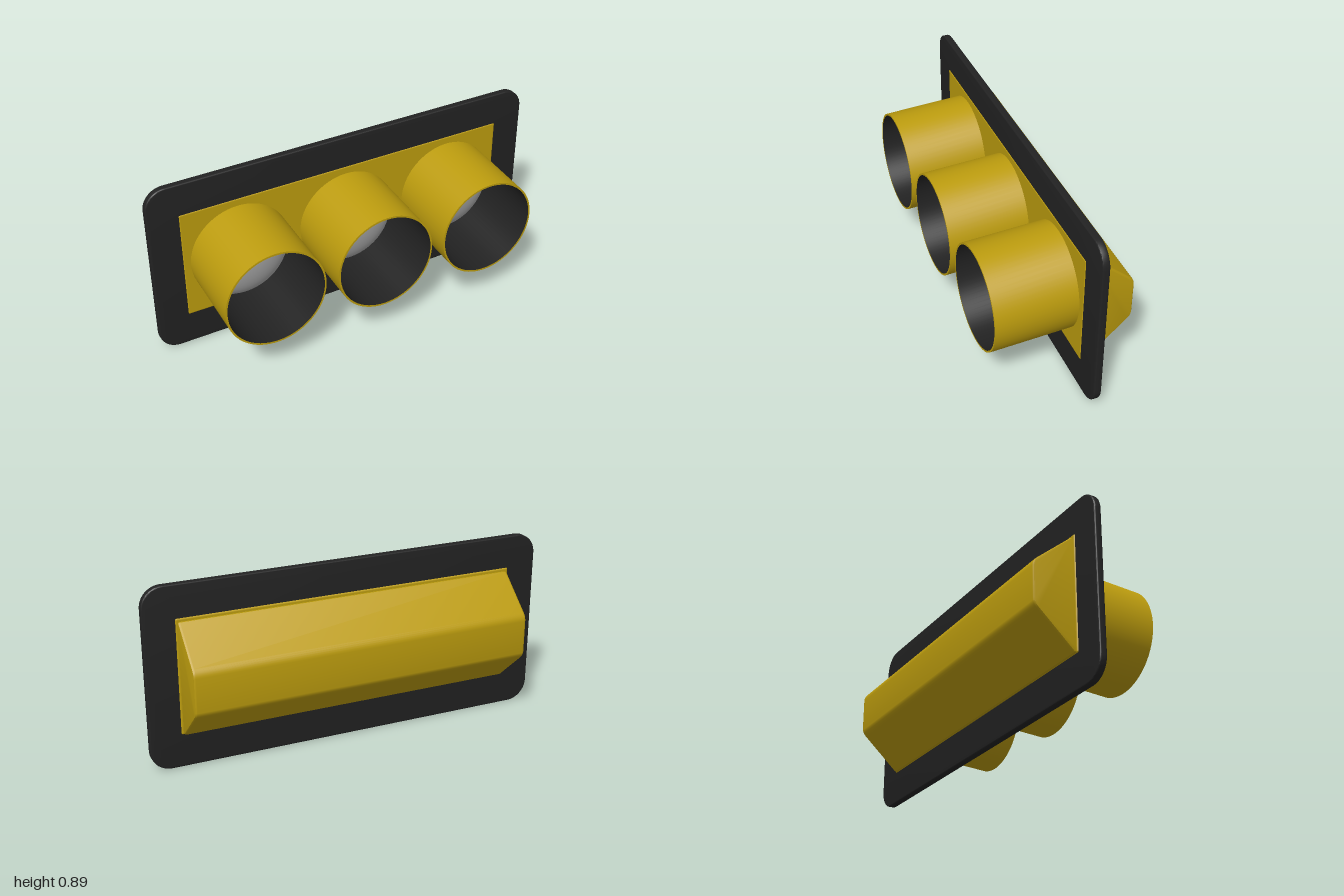
import * as THREE from 'three';
import { toCreasedNormals } from 'three/addons/utils/BufferGeometryUtils.js';
import { RoundedBoxGeometry } from 'three/addons/geometries/RoundedBoxGeometry.js';

const CY = 0.448; // height of the lamp centres
const BASE_Z = -0.075; // front of the backplate

function material(name, color) {
  const m = new THREE.MeshStandardMaterial({ color });
  m.name = name;
  return m;
}

function addMesh(parent, name, geometry, mat) {
  const mesh = new THREE.Mesh(geometry, mat);
  mesh.name = name;
  parent.add(mesh);
  return mesh;
}

// Rectangle with rounded corners, centred on the origin
function roundedRect(w, h, r) {
  const s = new THREE.Shape();
  const x = w / 2 - r, y = h / 2 - r;
  s.absarc(x, y, r, 0, Math.PI / 2);
  s.absarc(-x, y, r, Math.PI / 2, Math.PI);
  s.absarc(-x, -y, r, Math.PI, Math.PI * 1.5);
  s.absarc(x, -y, r, Math.PI * 1.5, Math.PI * 2);
  s.closePath();
  return s;
}

// Tube around z from [radius, z] points, sheared to droop toward the front
function droopingTube(profile) {
  const g = new THREE.LatheGeometry(profile.map(([r, z]) => new THREE.Vector2(r, z)), 64);
  g.rotateX(Math.PI / 2);
  const p = g.attributes.position;
  for (let i = 0; i < p.count; i++) p.setY(i, p.getY(i) - 0.05 * (p.getZ(i) - BASE_Z));
  return toCreasedNormals(g, 0.6);
}

// Tapered back: trapezoid profile swept along x
function housingGeometry() {
  const s = new THREE.Shape();
  s.moveTo(0.1, 0.175);
  s.lineTo(0.12, 0.175);
  s.lineTo(0.295, 0.335);
  s.quadraticCurveTo(0.312, 0.35, 0.312, 0.37);
  s.lineTo(0.312, 0.526);
  s.quadraticCurveTo(0.312, 0.546, 0.295, 0.561);
  s.lineTo(0.12, 0.711);
  s.lineTo(0.1, 0.711);
  s.closePath();
  const g = new THREE.ExtrudeGeometry(s, {
    depth: 1.66, bevelThickness: 0.01, bevelSize: 0.008, bevelSegments: 3, curveSegments: 5,
  });
  g.translate(0, 0, -0.83);
  g.rotateY(Math.PI / 2);
  return toCreasedNormals(g, 0.5);
}

export function createModel() {
  const model = new THREE.Group();
  model.name = 'signalLamp';
  const yellow = material('yellow paint', 0xbc9c0e);
  const black = material('matte black', 0x222222);
  const grey = material('grey lens', 0xa9a9a9);

  // Backplate with rounded corners
  const plate = new THREE.ExtrudeGeometry(roundedRect(1.988, 0.883, 0.095), {
    depth: 0.023, bevelThickness: 0.006, bevelSize: 0.006, bevelSegments: 3, curveSegments: 10,
  });
  plate.translate(0, 0.4475, -0.104);
  addMesh(model, 'backplate', toCreasedNormals(plate, 0.6), black);

  // Housing: front face with thin flange through the plate, tapered back
  const flange = addMesh(model, 'housingFlange', new RoundedBoxGeometry(1.7, 0.57, 0.043, 2, 0.008), yellow);
  flange.position.set(0, 0.45, -0.0935);
  addMesh(model, 'housingBack', housingGeometry(), yellow);

  // Shared lamp shapes
  const hood = droopingTube([[0.25, BASE_Z], [0.25, 0.32], [0.241, 0.32]]);
  const lining = droopingTube([[0.241, 0.32], [0.241, BASE_Z]]);
  const lens = new THREE.SphereGeometry(0.24, 48, 16, 0, Math.PI * 2, 0, Math.PI / 2);
  lens.rotateX(Math.PI / 2);
  lens.scale(1, 1, 0.42);

  // Three lamps in a row
  ['rightLamp', 'middleLamp', 'leftLamp'].forEach((name, i) => {
    const lamp = new THREE.Group();
    lamp.name = name;
    lamp.position.set((i - 1) * 0.564, CY, 0);
    addMesh(lamp, 'hood', hood, yellow);
    addMesh(lamp, 'hoodLining', lining, black);
    addMesh(lamp, 'lens', lens, grey).position.z = -0.071;
    model.add(lamp);
  });

  return model;
}
